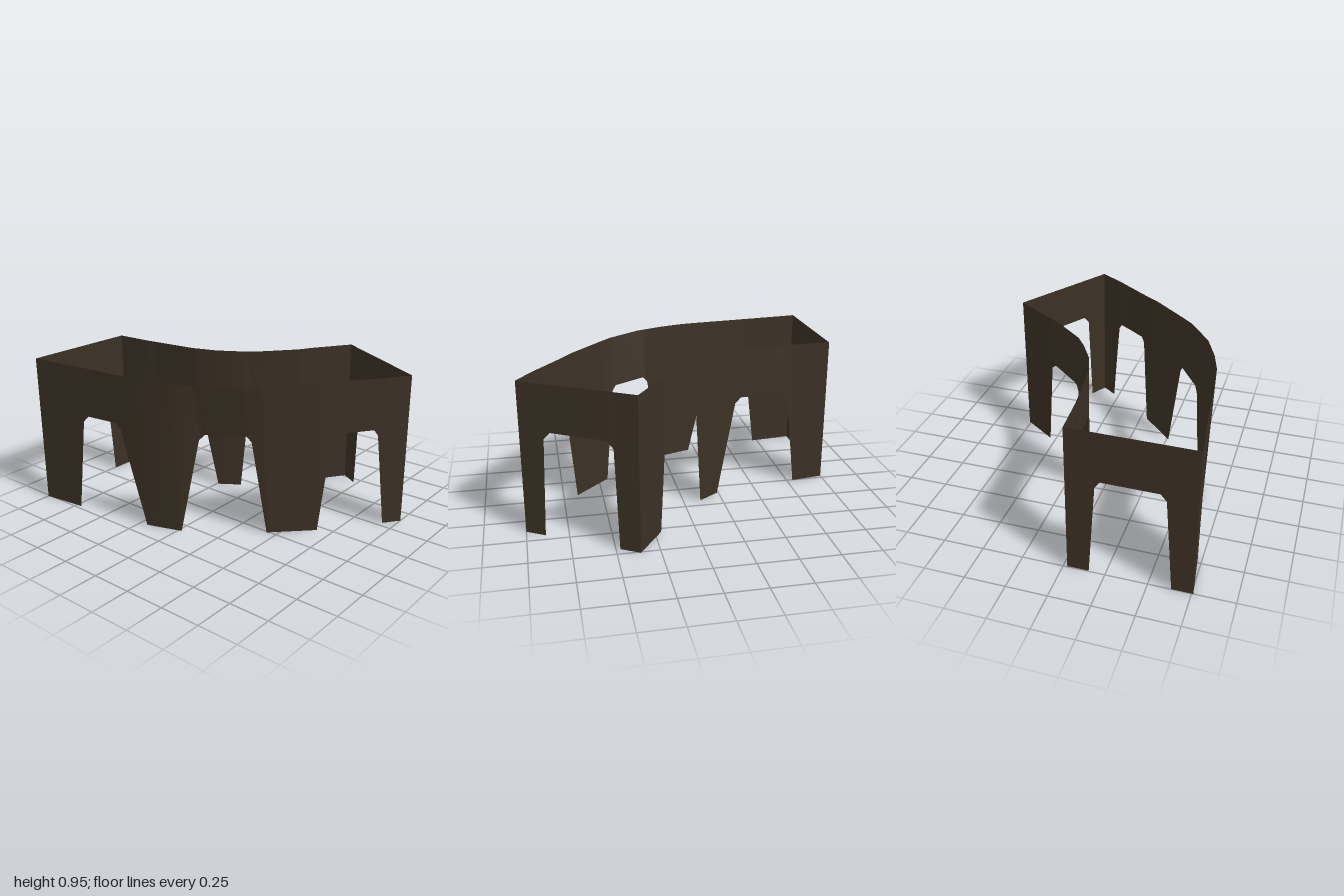
import * as THREE from 'three';

const TOP = 0.95;

// Linear interpolation of column c in rows sorted by their first value
function sample(rows, k, c) {
  for (let i = 1; i < rows.length; i++) {
    const a = rows[i - 1], b = rows[i];
    if (k <= b[0]) return a[c] + (b[c] - a[c]) * (k - a[0]) / (b[0] - a[0]);
  }
  return rows[rows.length - 1][c];
}

// Chamfered arch as lower-edge points [position, height]
const arch = (foot0, shoulder0, flat0, flat1, shoulder1, foot1, h, hs) => [
  [foot0, 0], [shoulder0, hs], [flat0, h], [flat1, h], [shoulder1, hs], [foot1, 0],
];

// Thin wall: plan rows are [position, offset at lower edge, offset at top edge]
function makeWall(name, plan, arches, place, material) {
  const edge = [[plan[0][0], 0], ...arches.flat(), [plan[plan.length - 1][0], 0]];
  const keys = [...new Set([...plan, ...edge].map((r) => r[0]))].sort((a, b) => a - b);
  const positions = [], index = [];
  keys.forEach((k, i) => {
    positions.push(...place(k, sample(plan, k, 1), sample(edge, k, 1)));
    positions.push(...place(k, sample(plan, k, 2), TOP));
    if (i) {
      const a = 2 * i - 2;
      index.push(a, a + 2, a + 3, a, a + 3, a + 1);
    }
  });
  const geometry = new THREE.BufferGeometry();
  geometry.setAttribute('position', new THREE.Float32BufferAttribute(positions, 3));
  geometry.setIndex(index);
  geometry.computeVertexNormals();
  const mesh = new THREE.Mesh(geometry, material);
  mesh.name = name;
  return mesh;
}

export function createModel() {
  const group = new THREE.Group();
  group.name = 'archedEnclosure';
  const darkBrown = new THREE.MeshStandardMaterial({ color: 0x3a3024, side: THREE.DoubleSide });
  darkBrown.name = 'darkBrown';

  const alongZ = (k, off, y) => [off, y, k];
  const alongX = (k, off, y) => [k, y, off];

  // Long outer curve with three arches
  group.add(makeWall('outerCurvedWall', [
    [-1, -0.76, -0.76], [-0.7, -0.722, -0.725], [-0.33, -0.675, -0.685],
    [-0.16, -0.63, -0.665], [0, -0.577, -0.62], [0.18, -0.47, -0.545],
    [0.38, -0.34, -0.4], [0.45, -0.25, -0.325], [0.65, -0.055, -0.1],
    [0.72, 0.01, 0], [0.8, 0.115, 0.105], [0.9, 0.255, 0.235], [1, 0.385, 0.385],
  ], [
    arch(-0.715, -0.64, -0.6, -0.39, -0.35, -0.2, 0.64, 0.6),
    arch(0.02, 0.12, 0.15, 0.355, 0.38, 0.44, 0.635, 0.6),
    arch(0.66, 0.71, 0.73, 0.87, 0.885, 0.925, 0.627, 0.59),
  ], alongZ, darkBrown));

  // Shorter inner curve with two arches
  group.add(makeWall('innerCurvedWall', [
    [-1, -0.025, -0.03], [-0.75, 0.01, -0.013], [-0.4, 0.04, 0.033],
    [-0.24, 0.095, 0.085], [-0.11, 0.18, 0.16], [-0.02, 0.265, 0.225],
    [0.16, 0.47, 0.435], [0.21, 0.54, 0.525], [0.365, 0.76, 0.755],
  ], [
    arch(-0.79, -0.72, -0.68, -0.4, -0.36, -0.24, 0.635, 0.6),
    arch(-0.11, -0.07, -0.05, 0.14, 0.17, 0.21, 0.635, 0.6),
  ], alongZ, darkBrown));

  // Straight end walls with one arch each
  group.add(makeWall('frontEndWall', [
    [0.365, 0.76, 0.755], [1, 0.385, 0.385],
  ], [arch(0.475, 0.495, 0.53, 0.83, 0.865, 0.888, 0.663, 0.62)], alongZ, darkBrown));

  group.add(makeWall('backEndWall', [
    [-0.76, -1, -1], [-0.028, -0.995, -0.995],
  ], [arch(-0.635, -0.59, -0.555, -0.225, -0.195, -0.153, 0.64, 0.6)], alongX, darkBrown));

  return group;
}
